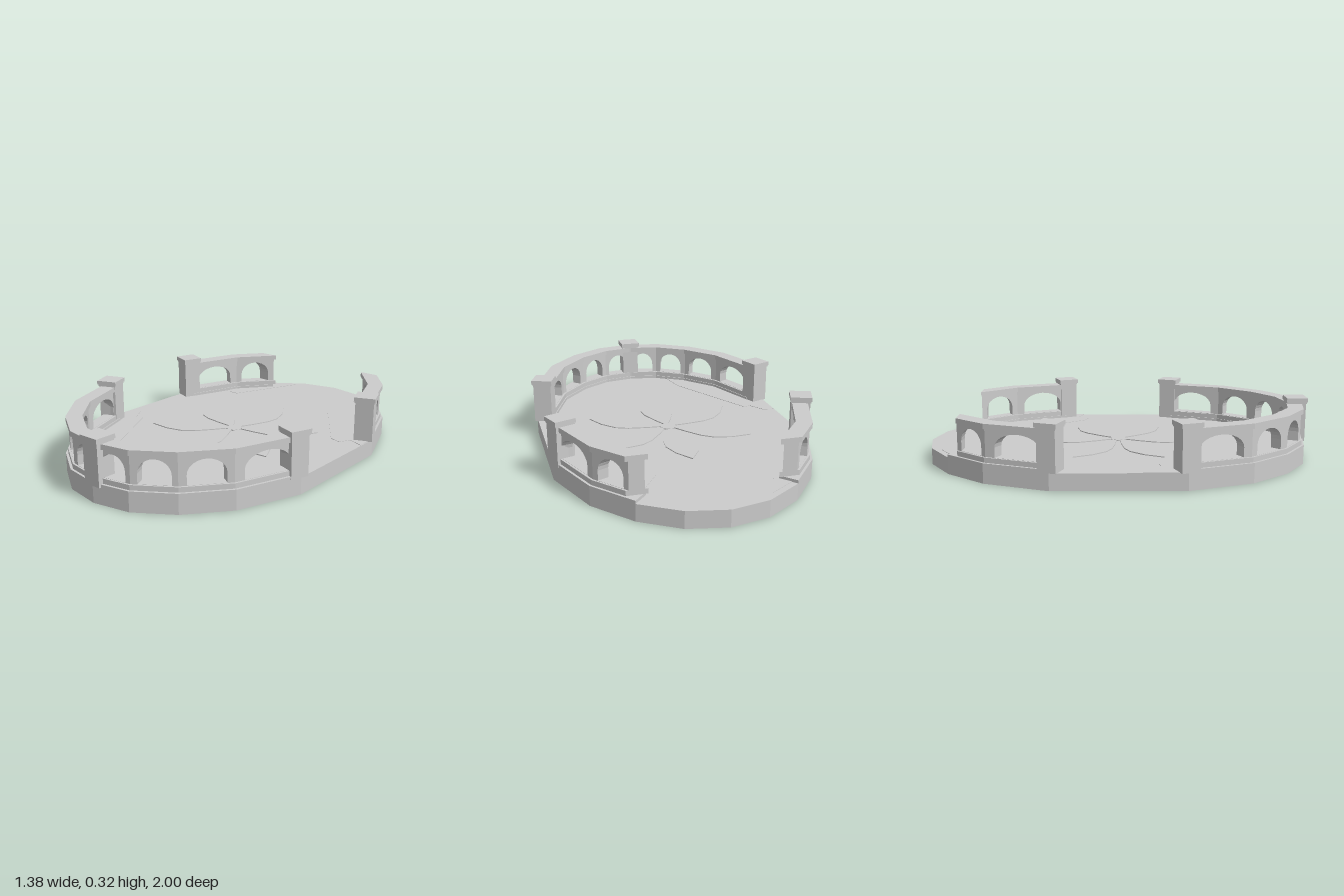
import * as THREE from 'three';

const stone = new THREE.MeshStandardMaterial({ color: 0xcccccc });
stone.name = 'pale stone';

const FLOOR = 0.085, STEP = 0.1, CURB = 0.125, WALL_TOP = 0.262, RAIL_TOP = 0.288;
const CUT_Z = -0.785; // where the back railings stop

// Platform outline, walked front -> left side -> back, then mirrored
const half = [[0, 0.99], [0.195, 0.955], [0.38, 0.835], [0.545, 0.64], [0.665, 0.32],
  [0.665, -0.32], [0.545, -0.64], [0.38, -0.84], [0.195, -0.96], [0, -1]];
const outline = [...half, ...half.slice(1, -1).reverse().map(([x, z]) => [-x, z])]
  .map(([x, z]) => new THREE.Vector2(x, z));
const N = outline.length;

// Outline corner i moved inward by d, mitred
function inset(i, d) {
  const p = outline[i];
  const normal = (a, b) => new THREE.Vector2(-(b.y - a.y), b.x - a.x).normalize();
  const n1 = normal(outline[(i + N - 1) % N], p);
  const n2 = normal(p, outline[(i + 1) % N]);
  const m = n1.clone().add(n2);
  return p.clone().addScaledVector(m, -d / (1 + n1.dot(n2)));
}

// As inset, but slides the open railing ends along their segment to the cut line
function railPoint(i, d) {
  const p = inset(i, d);
  if (i !== 7 && i !== 11) return p;
  const q = inset(i === 7 ? 6 : 12, d);
  return q.clone().lerp(p, (CUT_Z - q.y) / (p.y - q.y));
}

function flat(geometry) {
  const g = geometry.index ? geometry.toNonIndexed() : geometry;
  g.computeVertexNormals();
  return g;
}

function add(parent, name, geometry) {
  const mesh = new THREE.Mesh(geometry, stone);
  mesh.name = name;
  parent.add(mesh);
  return mesh;
}

// Rectangle in (t along segment, y) space
function band(y0, y1) {
  const s = new THREE.Shape();
  s.moveTo(0, y0);
  s.lineTo(1, y0);
  s.lineTo(1, y1);
  s.lineTo(0, y1);
  s.closePath();
  return s;
}

// Wall band with one arched opening
function archBand() {
  const s = band(CURB, WALL_TOP);
  const t0 = 0.15, t1 = 0.87, spring = 0.175, crown = 0.246;
  const mid = (t0 + t1) / 2, r = (t1 - t0) / 2;
  const hole = new THREE.Path();
  hole.moveTo(t0, CURB + 0.001);
  for (let k = 0; k <= 12; k++) {
    const a = Math.PI * (1 - k / 12);
    hole.lineTo(mid + r * Math.cos(a), spring + (crown - spring) * Math.sin(a));
  }
  hole.lineTo(t1, CURB + 0.001);
  hole.closePath();
  s.holes.push(hole);
  return s;
}

// Extrudes a (t, y) shape and bends it between the inner and outer lines of a segment
function segment(shape, i, j, outer, inner, point) {
  const g = new THREE.ExtrudeGeometry(shape, { depth: 1, bevelEnabled: false });
  const o0 = point(i, outer), o1 = point(j, outer);
  const n0 = point(i, inner), n1 = point(j, inner);
  const pos = g.attributes.position;
  for (let k = 0; k < pos.count; k++) {
    const t = pos.getX(k);
    const p = n0.clone().lerp(n1, t).lerp(o0.clone().lerp(o1, t), pos.getZ(k));
    pos.setXYZ(k, p.x, pos.getY(k), p.y);
  }
  return flat(g);
}

// Horizontal plate from (x, z) points, with an optional hole
function plate(points, height, y, holePoints) {
  const toShape = (list) => list.map(([x, z]) => new THREE.Vector2(x, -z));
  const s = new THREE.Shape(toShape(points));
  if (holePoints) s.holes.push(new THREE.Path(toShape(holePoints)));
  const g = new THREE.ExtrudeGeometry(s, { depth: height, bevelEnabled: false });
  g.rotateX(-Math.PI / 2);
  g.translate(0, y, 0);
  return flat(g);
}

export function createModel() {
  const model = new THREE.Group();
  model.name = 'oval terrace';

  add(model, 'platform', plate(outline.map((p) => [p.x, p.y]), FLOOR, 0));

  // Slightly lifted broken floor slabs
  const slabs = [
    [[-0.66, 0.11], [-0.6, 0.12], [-0.55, 0.2], [-0.51, 0.19], [-0.25, 0.67], [-0.22, 0.83],
      [-0.36, 0.8], [-0.53, 0.62], [-0.66, 0.3]],
    [[0.66, -0.21], [0.58, -0.24], [0.55, -0.18], [0.49, -0.2], [0.22, -0.58], [0.37, -0.8],
      [0.53, -0.63], [0.66, -0.31]],
    [[-0.23, -0.9], [-0.4, -0.51], [-0.46, -0.51], [-0.49, -0.55], [-0.47, -0.6], [-0.37, -0.81]],
  ];
  slabs.forEach((pts) => add(model, 'brokenSlab', plate(pts, 0.002, FLOOR)));

  // Six-petal floor ornament
  const flower = new THREE.Group();
  flower.name = 'floorFlower';
  model.add(flower);
  const outerSide = [[0.012, 0.04], [0.045, 0.11], [0.08, 0.2], [0.088, 0.27], [0.06, 0.36]];
  const innerSide = [[0.004, 0.055], [0.032, 0.115], [0.065, 0.205], [0.072, 0.268], [0.046, 0.352]];
  const petal = (side, tip) => [...side, [0, tip], ...side.slice().reverse().map(([x, z]) => [-x, z])];
  for (let k = 0; k < 6; k++) {
    const p = add(flower, 'petalOutline', plate(petal(outerSide, 0.45), 0.005, FLOOR, petal(innerSide, 0.422)));
    p.rotation.y = k * Math.PI / 3;
  }
  const disc = add(flower, 'flowerCentre', flat(new THREE.CylinderGeometry(0.042, 0.042, 0.006, 12)));
  disc.position.y = FLOOR + 0.003;

  // Balustrade: front curve and two back stretches
  const balustrade = new THREE.Group();
  balustrade.name = 'balustrade';
  model.add(balustrade);
  const spans = [[14, 15], [15, 16], [16, 17], [17, 0], [0, 1], [1, 2], [2, 3], [3, 4],
    [5, 6], [6, 7], [11, 12], [12, 13]];
  for (const [i, j] of spans) {
    add(balustrade, 'step', segment(band(FLOOR, STEP), i, j, 0, 0.095, inset));
    add(balustrade, 'curb', segment(band(STEP, CURB), i, j, 0.012, 0.09, railPoint));
    add(balustrade, 'archWall', segment(archBand(), i, j, 0.022, 0.078, railPoint));
    add(balustrade, 'topRail', segment(band(WALL_TOP, RAIL_TOP), i, j, 0.01, 0.09, railPoint));
  }

  // Square posts with caps
  const posts = [[0, 0.945, 0]];
  for (const sx of [1, -1]) for (const sz of [1, -1]) posts.push([sx * 0.62, sz * 0.315, -sx * sz * 0.36]);
  for (const [x, z, turn] of posts) {
    const post = new THREE.Group();
    post.name = 'post';
    post.position.set(x, 0, z);
    post.rotation.y = turn;
    model.add(post);
    const shaft = add(post, 'postShaft', new THREE.BoxGeometry(0.095, 0.21, 0.095));
    shaft.position.y = FLOOR + 0.105;
    const cap = add(post, 'postCap', new THREE.BoxGeometry(0.11, 0.022, 0.11));
    cap.position.y = 0.307;
    const neck = add(post, 'postNeck', new THREE.BoxGeometry(0.102, 0.008, 0.102));
    neck.position.y = 0.292;
  }
  return model;
}
